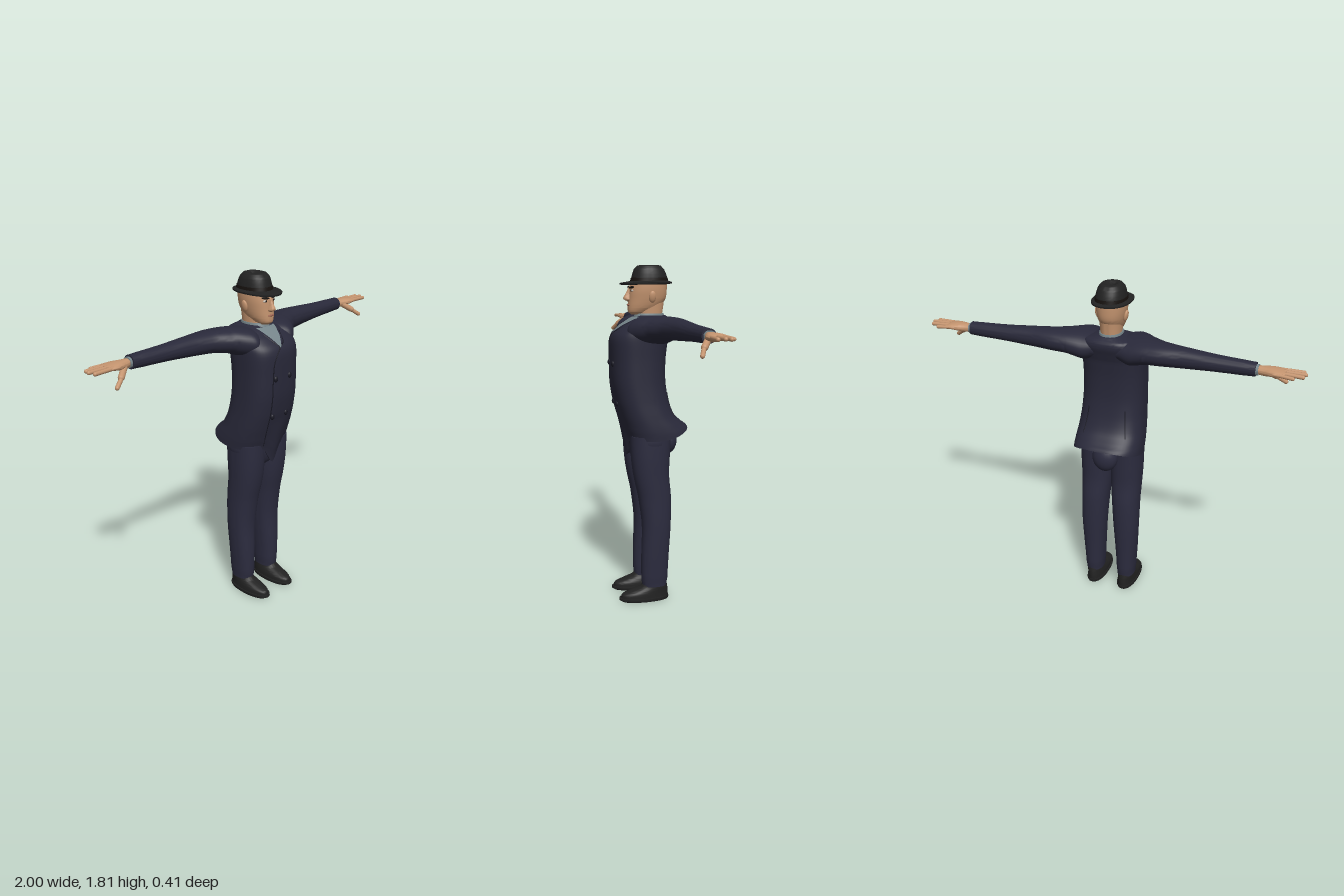
import * as THREE from 'three';
import { toCreasedNormals } from 'three/addons/utils/BufferGeometryUtils.js';

const mat = (name, color) => {
  const m = new THREE.MeshStandardMaterial({ color });
  m.name = name;
  return m;
};

// Smoothly resample rows of section values
function smooth(rows, k = 5) {
  const out = [];
  for (let i = 0; i < rows.length - 1; i++) {
    const a = rows[Math.max(i - 1, 0)], b = rows[i], c = rows[i + 1], d = rows[Math.min(i + 2, rows.length - 1)];
    for (let j = 0; j < k; j++) {
      const t = j / k;
      out.push(b.map((v, n) => {
        if (n === 0) return v + (c[0] - v) * t;
        const quad = 2 * a[n] - 5 * v + 4 * c[n] - d[n];
        const cubic = 3 * v - a[n] - 3 * c[n] + d[n];
        return v + 0.5 * t * (c[n] - a[n] + t * (quad + t * cubic));
      }));
    }
  }
  out.push(rows[rows.length - 1]);
  return out;
}

// Closed skin over rounded sections: [position, min1, max1, minZ, maxZ] along y (1 = x) or x (1 = y)
function loft(rows, { axis = 'y', p = 2.2, side = 1, n = 40, bend = null } = {}) {
  const pos = [], idx = [];
  const put = (u, v, z) => {
    const q = axis === 'y' ? [v * side, u, z] : [u * side, v, z];
    if (bend) bend(q);
    pos.push(...q);
  };
  for (const [u, v0, v1, z0, z1] of rows) {
    for (let i = 0; i < n; i++) {
      const a = i / n * Math.PI * 2, c = Math.cos(a), s = Math.sin(a);
      const r = (Math.abs(c) ** p + Math.abs(s) ** p) ** (-1 / p);
      put(u, (v0 + v1) / 2 + (v1 - v0) / 2 * c * r, (z0 + z1) / 2 + (z1 - z0) / 2 * s * r * (axis === 'y' ? 1 : -1));
    }
  }
  const tri = (a, b, c) => idx.push(a, ...(side > 0 ? [b, c] : [c, b]));
  const last = rows.length - 1, lo = rows.length * n, hi = lo + 1;
  for (const [u, v0, v1, z0, z1] of [rows[0], rows[last]]) put(u, (v0 + v1) / 2, (z0 + z1) / 2);
  for (let i = 0; i < n; i++) {
    const j = (i + 1) % n;
    for (let r = 0; r < last; r++) {
      const b = r * n, t = b + n;
      tri(b + i, t + i, b + j);
      tri(t + i, t + j, b + j);
    }
    tri(lo, i, j);
    tri(hi, last * n + j, last * n + i);
  }
  const g = new THREE.BufferGeometry();
  g.setAttribute('position', new THREE.Float32BufferAttribute(pos, 3));
  g.setIndex(idx);
  return toCreasedNormals(g, 0.9);
}

export function createModel() {
  const model = new THREE.Group();
  model.name = 'manInSuit';
  const jacketMat = mat('navy jacket', 0x29293a), trouserMat = mat('navy trousers', 0x2c2c3f);
  const seamMat = mat('dark seam', 0x191924), black = mat('black felt and leather', 0x222222);
  const skin = mat('skin', 0xc4946f), shirt = mat('grey shirt', 0x76858a);
  const hair = mat('dark brow', 0x17120f), white = mat('eye white', 0xc9c2b8), lip = mat('lip', 0x9c6452);

  const add = (name, geo, m, parent = model) => {
    const mesh = new THREE.Mesh(geo, m);
    mesh.name = name;
    parent.add(mesh);
    return mesh;
  };
  const ball = (name, m, x, y, z, rx, ry, rz) => {
    const b = add(name, new THREE.SphereGeometry(1, 20, 14), m);
    b.position.set(x, y, z);
    b.scale.set(rx, ry, rz);
    return b;
  };

  // Jacket body with raised tail and pointed front hem
  const P = 2.7;
  const body = smooth([
    [0.90, -0.183, 0.183, -0.205, 0.122], [0.95, -0.183, 0.183, -0.178, 0.138],
    [1.02, -0.178, 0.178, -0.13, 0.16], [1.10, -0.171, 0.171, -0.1, 0.182],
    [1.20, -0.166, 0.166, -0.083, 0.198], [1.32, -0.164, 0.164, -0.083, 0.201],
    [1.42, -0.166, 0.166, -0.095, 0.2], [1.46, -0.166, 0.166, -0.108, 0.185],
    [1.50, -0.16, 0.16, -0.12, 0.14], [1.53, -0.135, 0.135, -0.115, 0.09], [1.548, -0.07, 0.07, -0.09, 0.06],
  ]);
  add('jacketBody', loft(body, {
    p: P, n: 72,
    bend: q => {
      const w = THREE.MathUtils.clamp((1.06 - q[1]) / 0.16, 0, 1);
      if (q[2] < 0) q[1] += 0.055 * w * Math.min(1, (q[2] / 0.2) ** 2);
      else q[1] -= 0.1 * w * Math.exp(-((q[0] / 0.045) ** 2)) * Math.min(1, q[2] / 0.1);
    },
  }), jacketMat);

  // Depth of the jacket surface at x, y (face 1 = front, -1 = back)
  const surface = (x, y, face = 1) => {
    const i = Math.max(0, body.findLastIndex(r => r[0] <= y)), a = body[i], b = body[Math.min(i + 1, body.length - 1)];
    const t = b === a ? 0 : THREE.MathUtils.clamp((y - a[0]) / (b[0] - a[0]), 0, 1);
    const r = a.map((v, n) => v + (b[n] - v) * t);
    const k = Math.max(0, 1 - Math.abs(x / r[2]) ** P) ** (1 / P);
    return (r[3] + r[4]) / 2 + face * (r[4] - r[3]) / 2 * k;
  };
  const seam = (name, pts, face = 1) => {
    const points = pts.map(([x, y]) => new THREE.Vector3(x, y, surface(x, y, face)));
    add(name, new THREE.TubeGeometry(new THREE.CatmullRomCurve3(points), 40, 0.003, 6), seamMat);
  };
  seam('frontEdge', [[-0.07, 0.91], [-0.076, 1], [-0.077, 1.1], [-0.077, 1.2], [-0.076, 1.3], [-0.07, 1.38],
    [-0.05, 1.425], [-0.02, 1.455], [0.02, 1.475], [0.055, 1.515]]);
  seam('rightLapelEdge', [[-0.02, 1.455], [-0.04, 1.48], [-0.06, 1.515]]);
  for (const s of [-1, 1]) seam('tailVent', [[s * 0.1, 1.15], [s * 0.104, 1.1], [s * 0.11, 1.05], [s * 0.118, 1.0]], -1);
  for (const y of [1.09, 1.3]) for (const x of [-0.06, 0.04])
    ball('button', seamMat, x, y, surface(x, y), 0.013, 0.016, 0.009);

  // Shirt front laid over the chest, and collar
  const front = new THREE.PlaneGeometry(1, 1, 10, 14), fp = front.attributes.position;
  for (let i = 0; i < fp.count; i++) {
    const v = fp.getY(i) + 0.5, y = 1.455 + 0.085 * v;
    const x = -0.018 * (1 - v) + fp.getX(i) * 0.128 * v;
    fp.setXYZ(i, x, y, surface(x, y) + 0.004);
  }
  front.computeVertexNormals();
  add('shirtFront', front, shirt);
  add('collar', loft([[1.47, -0.065, 0.065, -0.085, 0.085], [1.535, -0.063, 0.063, -0.088, 0.079],
    [1.558, -0.058, 0.058, -0.082, 0.066]]), shirt);

  // Trousers
  add('trouserHips', loft(smooth([[0.755, -0.02, 0.02, -0.03, 0.05], [0.80, -0.1, 0.1, -0.085, 0.095],
    [0.86, -0.168, 0.168, -0.1, 0.113], [0.95, -0.17, 0.17, -0.1, 0.118]]), { p: 2.6 }), trouserMat);
  ball('trouserSeat', trouserMat, 0, 0.875, -0.105, 0.07, 0.08, 0.055);

  for (const s of [-1, 1]) {
    const side = s > 0 ? 'left' : 'right';
    add(side + 'TrouserLeg', loft(smooth([[0.08, 0.047, 0.143, -0.078, 0.055], [0.12, 0.043, 0.147, -0.084, 0.06],
      [0.25, 0.036, 0.155, -0.09, 0.06], [0.42, 0.025, 0.163, -0.1, 0.056], [0.58, 0.014, 0.165, -0.102, 0.075],
      [0.70, 0.003, 0.168, -0.092, 0.1], [0.80, 0, 0.171, -0.095, 0.113], [0.92, 0, 0.172, -0.1, 0.118]]),
    { side: s, p: 2.3 }), trouserMat);

    // Shoe with welted sole
    add(side + 'Shoe', loft(smooth([[0.015, 0.042, 0.145, -0.088, 0.175], [0.04, 0.043, 0.144, -0.088, 0.168],
      [0.058, 0.047, 0.142, -0.086, 0.12], [0.075, 0.052, 0.14, -0.083, 0.07], [0.11, 0.055, 0.138, -0.075, 0.045]]),
    { side: s }), black);
    add(side + 'Sole', loft([[0, 0.04, 0.147, -0.088, 0.172], [0.008, 0.036, 0.151, -0.092, 0.185],
      [0.02, 0.037, 0.15, -0.091, 0.184]], { side: s }), black);

    // Sleeve, cuff and hand
    add(side + 'Sleeve', loft(smooth([[0.06, 1.42, 1.54, -0.11, 0.1], [0.12, 1.40, 1.548, -0.128, 0.14],
      [0.165, 1.412, 1.552, -0.135, 0.115], [0.21, 1.428, 1.552, -0.138, 0.07], [0.29, 1.437, 1.55, -0.138, 0.018],
      [0.40, 1.443, 1.545, -0.125, -0.012], [0.55, 1.452, 1.535, -0.12, -0.03], [0.70, 1.457, 1.53, -0.117, -0.042],
      [0.76, 1.46, 1.528, -0.116, -0.046]]), { axis: 'x', side: s }), jacketMat);
    add(side + 'Cuff', loft([[0.74, 1.467, 1.52, -0.11, -0.054], [0.772, 1.467, 1.52, -0.11, -0.054]],
      { axis: 'x', side: s }), shirt);
    const hand = new THREE.Group();
    hand.name = side + 'Hand';
    model.add(hand);
    add('palm', loft(smooth([[0.755, 1.474, 1.514, -0.104, -0.06], [0.80, 1.470, 1.515, -0.112, -0.048],
      [0.84, 1.476, 1.515, -0.127, -0.036], [0.88, 1.483, 1.511, -0.133, -0.036], [0.90, 1.488, 1.506, -0.128, -0.042]]),
    { axis: 'x', side: s, n: 28 }), skin, hand);
    const finger = (name, a, b, r) => {
      const A = new THREE.Vector3(a[0] * s, a[1], a[2]), B = new THREE.Vector3(b[0] * s, b[1], b[2]);
      const f = add(name, new THREE.CapsuleGeometry(r, A.distanceTo(B), 6, 12), skin, hand);
      f.position.copy(A).lerp(B, 0.5);
      f.quaternion.setFromUnitVectors(new THREE.Vector3(0, 1, 0), B.sub(A).normalize());
    };
    finger('littleFinger', [0.87, 1.497, -0.123], [0.94, 1.494, -0.132], 0.009);
    finger('ringFinger', [0.87, 1.499, -0.099], [0.982, 1.497, -0.106], 0.01);
    finger('middleFinger', [0.87, 1.499, -0.074], [0.99, 1.499, -0.076], 0.01);
    finger('indexFinger', [0.87, 1.498, -0.05], [0.978, 1.497, -0.046], 0.01);
    finger('thumbBase', [0.805, 1.485, -0.062], [0.85, 1.453, -0.03], 0.016);
    finger('thumb', [0.85, 1.451, -0.028], [0.893, 1.42, -0.007], 0.011);

    // Ear, eye, brow
    ball(side + 'Ear', skin, s * 0.076, 1.645, -0.005, 0.011, 0.031, 0.019).rotation.z = -s * 0.2;
    ball(side + 'Eye', white, s * 0.029, 1.677, 0.092, 0.014, 0.006, 0.007);
    ball(side + 'Pupil', hair, s * 0.028, 1.677, 0.097, 0.0055, 0.0055, 0.004);
    const brow = ball(side + 'Brow', hair, s * 0.031, 1.693, 0.096, 0.023, 0.006, 0.007);
    brow.rotation.set(0, s * 0.3, s * 0.16);
  }

  // Neck, head, nose, mouth
  add('neck', loft([[1.46, -0.052, 0.052, -0.07, 0.05], [1.54, -0.052, 0.052, -0.074, 0.06],
    [1.62, -0.056, 0.056, -0.085, 0.06]]), skin);
  add('head', loft(smooth([[1.553, -0.025, 0.025, 0.01, 0.09], [1.565, -0.042, 0.042, -0.015, 0.106],
    [1.59, -0.057, 0.057, -0.06, 0.108], [1.63, -0.068, 0.068, -0.092, 0.105], [1.68, -0.075, 0.075, -0.1, 0.101],
    [1.73, -0.073, 0.073, -0.098, 0.09], [1.77, -0.055, 0.055, -0.075, 0.065]])), skin);
  add('nose', loft(smooth([[1.621, -0.01, 0.01, 0.085, 0.112], [1.628, -0.018, 0.018, 0.08, 0.126],
    [1.637, -0.016, 0.016, 0.08, 0.133], [1.66, -0.009, 0.009, 0.08, 0.121], [1.692, -0.008, 0.008, 0.08, 0.106]]),
  { n: 20 }), skin);
  ball('mouth', lip, 0, 1.602, 0.106, 0.023, 0.005, 0.007);

  // Hat
  add('hatBrim', loft([[1.708, -0.075, 0.075, -0.1, 0.1], [1.712, -0.099, 0.099, -0.127, 0.148],
    [1.72, -0.1, 0.1, -0.128, 0.15], [1.727, -0.08, 0.08, -0.104, 0.095]], {
    n: 48, bend: q => { q[1] -= 0.006 * Math.max(0, q[2] / 0.15) ** 2; },
  }), black);
  add('hatCrown', loft(smooth([[1.715, -0.078, 0.078, -0.106, 0.092], [1.75, -0.075, 0.075, -0.1, 0.085],
    [1.785, -0.066, 0.066, -0.085, 0.074], [1.803, -0.052, 0.052, -0.068, 0.056], [1.807, -0.036, 0.036, -0.054, 0.038],
    [1.795, -0.018, 0.018, -0.04, 0.02]])), black);
  add('hatBand', loft([[1.722, -0.08, 0.08, -0.108, 0.094], [1.742, -0.078, 0.078, -0.104, 0.089]]), hair);
  return model;
}
